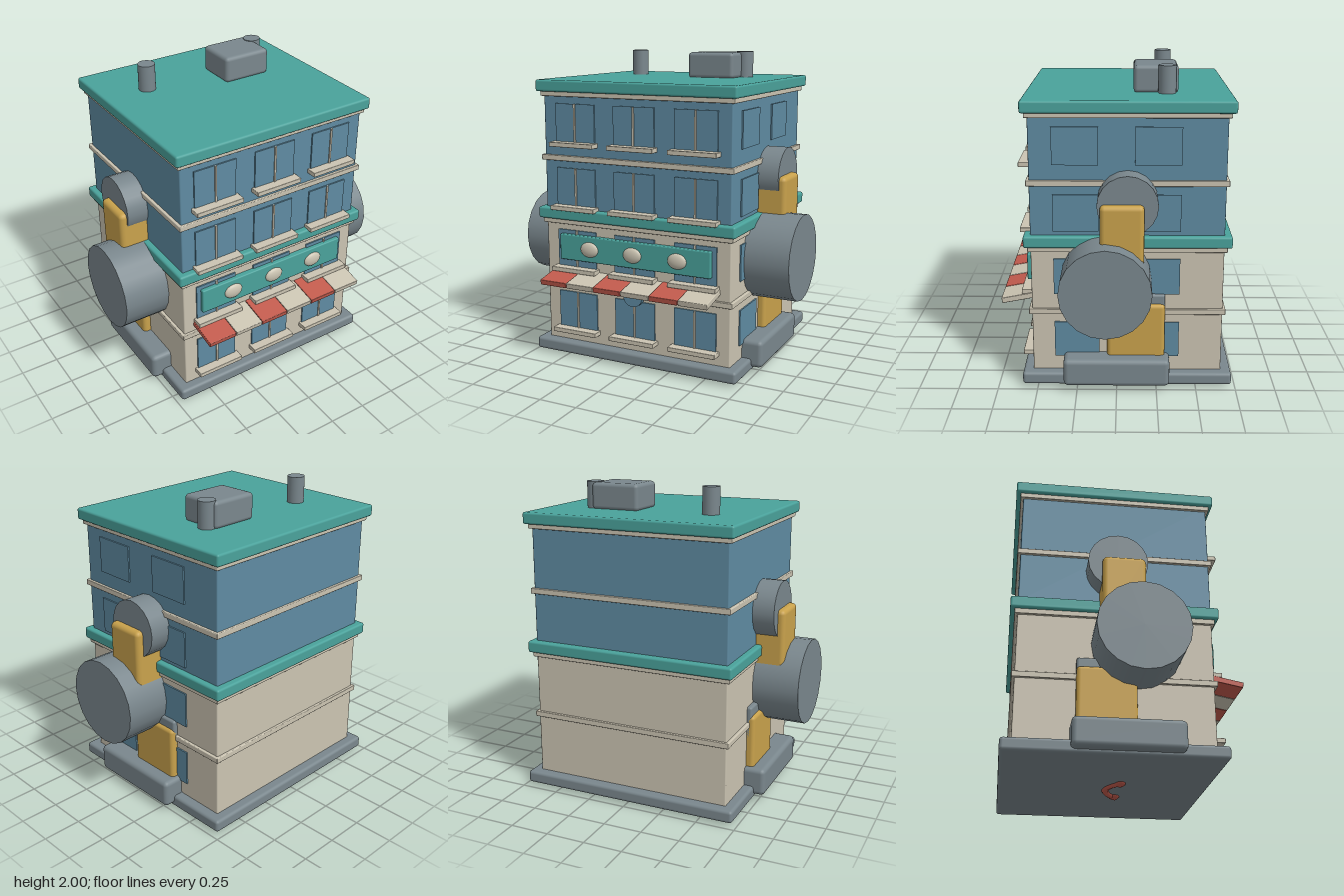
import * as THREE from 'three';
import { RoundedBoxGeometry } from 'three/addons/geometries/RoundedBoxGeometry.js';

const mat = (name, color) => {
  const m = new THREE.MeshStandardMaterial({ color });
  m.name = name;
  return m;
};

export function createModel() {
  const model = new THREE.Group();
  model.name = 'building';
  const cream = mat('cream', 0xcbc4b2);
  const blue = mat('blue', 0x5f8ba2);
  const teal = mat('teal', 0x4aa29b);
  const grey = mat('grey', 0x7a878d);
  const yellow = mat('yellow', 0xc9a24c);
  const red = mat('red', 0xc25b4d);

  const add = (name, geometry, material) => {
    const mesh = new THREE.Mesh(geometry, material);
    mesh.name = name;
    model.add(mesh);
    return mesh;
  };
  // Box given by its limits on each axis; r rounds the edges
  const box = (name, material, [x0, x1], [y0, y1], [z0, z1], r = 0) => {
    const s = [x1 - x0, y1 - y0, z1 - z0];
    const g = r ? new RoundedBoxGeometry(...s, 2, r) : new THREE.BoxGeometry(...s);
    g.translate((x0 + x1) / 2, (y0 + y1) / 2, (z0 + z1) / 2);
    return add(name, g, material);
  };

  // Plinth, storeys, bands and roof
  box('plinth', grey, [-0.725, 0.725], [0.02, 0.1], [-0.725, 0.595], 0.02);
  box('lowerWalls', cream, [-0.66, 0.66], [0.09, 0.93], [-0.66, 0.53], 0.008);
  box('upperWalls', blue, [-0.66, 0.66], [0.98, 1.76], [-0.66, 0.53], 0.008);
  for (const y of [0.482, 0.893, 1.31, 1.725]) {
    box('band', cream, [-0.678, 0.678], [y, y + 0.036], [-0.678, 0.548], 0.005);
  }
  box('middleCornice', teal, [-0.7, 0.7], [0.925, 1.0], [-0.705, 0.572], 0.014);
  box('roof', teal, [-0.7, 0.7], [1.755, 1.83], [-0.705, 0.572], 0.014);

  // Front windows with mullions and sills, and windows on one side wall
  for (const y of [0.17, 0.59, 1.0, 1.415]) {
    for (const x of [-0.425, 0, 0.425]) {
      box('frontWindow', blue, [x - 0.144, x + 0.144], [y + 0.005, y + 0.265], [0.53, 0.539]);
      box('mullion', cream, [x - 0.006, x + 0.006], [y + 0.015, y + 0.265], [0.535, 0.547]);
      box('sill', cream, [x - 0.162, x + 0.162], [y - 0.008, y + 0.022], [0.52, 0.6], 0.004);
    }
    for (const z of [-0.25, 0.25]) {
      box('sideWindow', blue, [0.66, 0.669], [y + 0.025, y + 0.257], [z - 0.14, z + 0.14]);
    }
  }

  // Sign board with three oval bosses
  box('sign', teal, [-0.54, 0.54], [0.66, 0.83], [0.525, 0.567], 0.008);
  for (const x of [-0.315, 0, 0.315]) {
    const boss = add('signBoss', new THREE.SphereGeometry(1, 24, 16), cream);
    boss.scale.set(0.065, 0.05, 0.024);
    boss.position.set(x, 0.745, 0.567);
  }

  // Sloping striped awning
  for (let i = 0; i < 6; i++) {
    const g = new RoundedBoxGeometry(0.194, 0.036, 0.205, 2, 0.005);
    const panel = add('awningPanel', g, i % 2 ? cream : red);
    panel.position.set(-0.495 + i * 0.198, 0.555, 0.628);
    panel.rotation.x = 0.19;
  }

  // Round blue plate over the entrance
  const disc = add('roundPlate', new THREE.CylinderGeometry(0.068, 0.068, 0.04, 24), blue);
  disc.rotation.x = Math.PI / 2;
  disc.position.set(0, 0.473, 0.547);

  // Mirrored limbs: drums, arm, leg and foot
  const span = (s, a, b) => (s > 0 ? [a, b] : [-b, -a]);
  for (const s of [-1, 1]) {
    const drum = (name, r, x0, x1, y, z) => {
      const d = add(name, new THREE.CylinderGeometry(r, r, x1 - x0, 20), grey);
      d.rotation.z = Math.PI / 2;
      d.position.set(s * (x0 + x1) / 2, y, z);
    };
    drum('shoulder', 0.184, 0.6, 0.8, 1.223, -0.066);
    drum('fist', 0.279, 0.64, 0.96, 0.725, 0.066);
    box('arm', yellow, span(s, 0.64, 0.845), [0.75, 1.235], [-0.165, 0.1], 0.03);
    box('thigh', grey, span(s, 0.6, 0.69), [0.4, 0.62], [-0.3, 0.04], 0.015);
    box('leg', yellow, span(s, 0.56, 0.71), [0.12, 0.56], [-0.3, 0.06], 0.025);
    box('foot', grey, span(s, 0.5, 0.795), [0.042, 0.22], [-0.33, 0.333], 0.03);
  }

  // Roof chimneys and tank
  for (const x of [-0.4, 0.397]) {
    add('chimney', new THREE.CylinderGeometry(0.055, 0.055, 0.18, 24), grey)
      .position.set(x, 1.91, -0.305);
  }
  box('roofTank', grey, [0.067, 0.392], [1.825, 1.995], [-0.375, -0.1], 0.025);

  // Curved red handle under the plinth
  const arc = new THREE.QuadraticBezierCurve3(
    new THREE.Vector3(-0.17, 0.025, 0.04),
    new THREE.Vector3(0, 0.035, -0.13),
    new THREE.Vector3(0.17, 0.025, 0.04)
  );
  add('underHandle', new THREE.TubeGeometry(arc, 20, 0.025, 10), red);
  for (const x of [-0.15, 0.15]) {
    const end = add('handleEnd', new THREE.SphereGeometry(1, 16, 10), red);
    end.scale.set(0.05, 0.025, 0.035);
    end.position.set(x, 0.025, 0.03);
  }
  return model;
}
